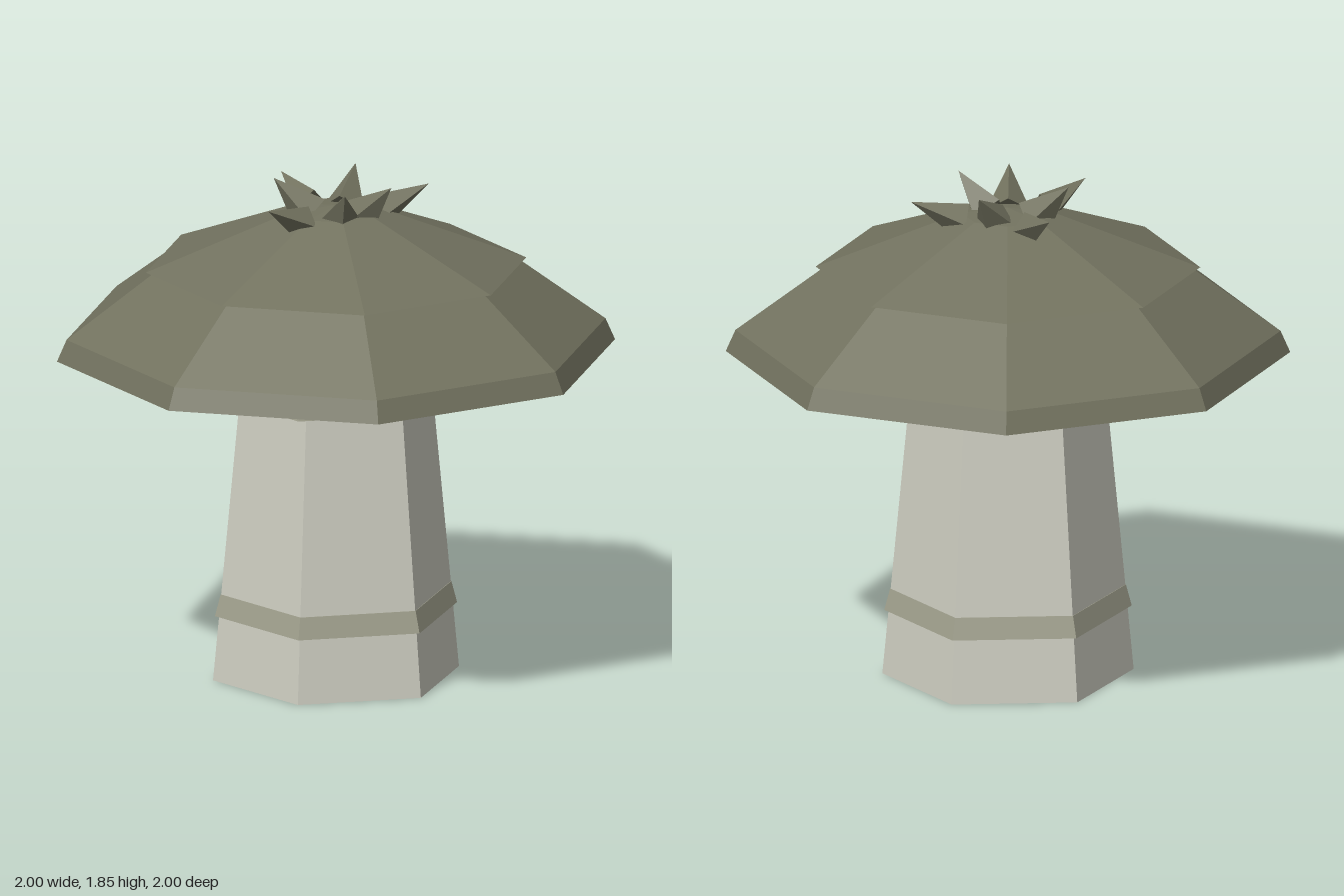
import * as THREE from 'three';

const mat = (name, color) => {
  const m = new THREE.MeshStandardMaterial({ color, flatShading: true });
  m.name = name;
  return m;
};

export function createModel() {
  const model = new THREE.Group();
  const olive = mat('olive cap', 0x72725f);
  const stone = mat('pale stem', 0xcecec2);
  const band = mat('stem band', 0xa0a08d);
  const under = mat('underside', 0x838374);

  // Tapered prism between two heights with its own underside colour
  const prism = (name, side, sides, y0, r0, y1, r1, start) => {
    const geo = new THREE.CylinderGeometry(r1, r0, y1 - y0, sides, 1, false, start);
    const mesh = new THREE.Mesh(geo, [side, side, under]);
    mesh.position.y = (y0 + y1) / 2;
    mesh.name = name;
    model.add(mesh);
  };

  // Six-sided stem with two bands
  const hex = (name, m, ...p) => prism(name, m, 6, ...p, Math.PI / 6);
  hex('stem', stone, 0, 0.455, 1.2, 0.342);
  hex('lowerBand', band, 0.24, 0.448, 0.32, 0.427);
  hex('upperBand', band, 1.06, 0.446, 1.15, 0.42);

  // Eight-sided cap built from stacked tiers
  const oct = (name, m, ...p) => prism(name, m, 8, ...p, Math.PI / 16);
  oct('capUnderside', band, 1.18, 0.8, 1.215, 0.76);
  oct('capRim', olive, 1.21, 1.02, 1.29, 0.985);
  oct('capLowerTier', olive, 1.29, 0.985, 1.535, 0.655);
  oct('capUpperTier', olive, 1.53, 0.695, 1.735, 0.17);
  oct('capCrown', olive, 1.735, 0.17, 1.755, 0.001);

  // Spikes leaning outward: tip x, tip z, tip height, base distance from centre, base height, thickness
  const outer = [1.8, 0.17, 1.718, 0.066];
  const inner = [1.85, 0.095, 1.72, 0.078];
  const spikes = [
    [0.13, -0.335, ...outer],
    [-0.355, -0.055, ...outer],
    [0.025, 0.352, ...outer],
    [0.22, -0.07, ...inner],
    [-0.12, -0.205, ...inner],
    [-0.17, 0.15, ...inner],
    [0.19, 0.13, ...inner],
  ];
  const crown = new THREE.Group();
  crown.name = 'crownSpikes';
  for (const [x, z, y, r, baseY, thick] of spikes) {
    const k = r / Math.hypot(x, z);
    const base = new THREE.Vector3(x * k, baseY, z * k);
    const axis = new THREE.Vector3(x, y, z).sub(base);
    const length = axis.length();
    const geo = new THREE.ConeGeometry(thick, length, 4);
    geo.translate(0, length / 2, 0);
    // Lean around the heading so one ridge stays on top
    const spike = new THREE.Mesh(geo, olive);
    spike.rotation.order = 'YXZ';
    spike.rotation.y = Math.atan2(x, z);
    spike.rotation.x = Math.acos(axis.y / length);
    spike.position.copy(base);
    spike.name = 'spike';
    crown.add(spike);
  }
  model.add(crown);
  return model;
}
